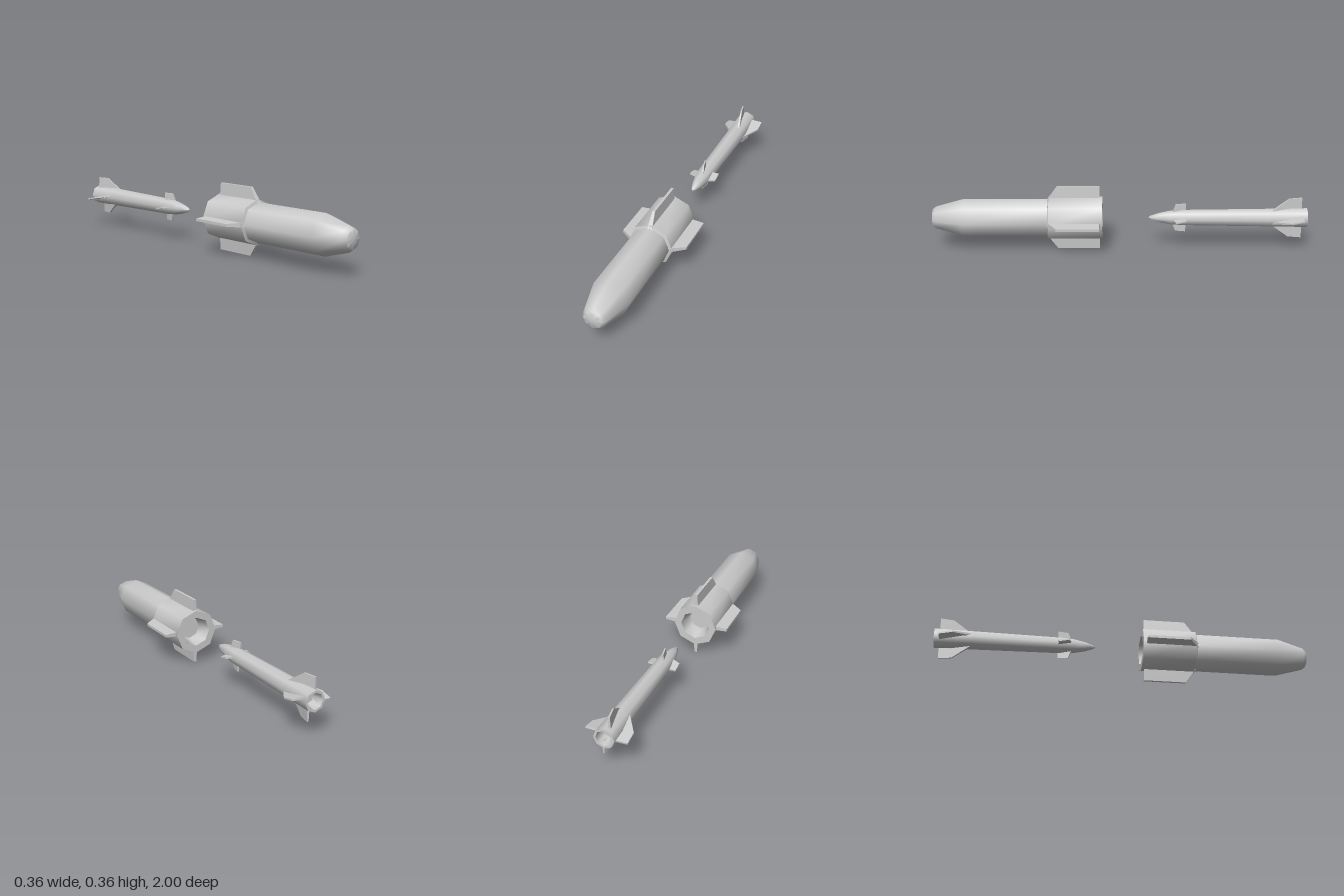
import * as THREE from 'three';
import { toCreasedNormals } from 'three/addons/utils/BufferGeometryUtils.js';

const CENTRE_Y = 0.178;
const material = new THREE.MeshStandardMaterial({ color: 0xcccccc });

// Eight-sided turned body along z; profile is [radius, z] from the tail recess to the nose.
function body(name, profile) {
  const points = profile.map(([r, z]) => new THREE.Vector2(r, z));
  const geometry = new THREE.LatheGeometry(points, 8).rotateX(Math.PI / 2);
  // the turn maps the axis to +z
  const mesh = new THREE.Mesh(toCreasedNormals(geometry, 0.87), material);
  mesh.name = name;
  return mesh;
}

// Tapered fin: root and tip are { r, back, front, half } with half the thickness.
function finGeometry(root, tip, cant) {
  const geometry = new THREE.BoxGeometry(2, 1, 1);
  const p = geometry.attributes.position;
  const pivot = (root.back + root.front) / 2;
  for (let i = 0; i < p.count; i++) {
    const end = p.getY(i) > 0 ? tip : root;
    const z = p.getZ(i) > 0 ? end.front : end.back;
    p.setXYZ(i, p.getX(i) * end.half, end.r, z - pivot);
  }
  geometry.rotateY(cant).translate(0, 0, pivot);
  return toCreasedNormals(geometry, 0.3);
}

// Four equal fins set around the body.
function finSet(name, root, tip, cant = 0) {
  const set = new THREE.Group();
  set.name = name;
  const geometry = finGeometry(root, tip, cant);
  for (let i = 0; i < 4; i++) {
    const fin = new THREE.Mesh(geometry, material);
    fin.name = 'fin';
    fin.rotation.z = i * Math.PI / 2;
    set.add(fin);
  }
  return set;
}

export function createModel() {
  const model = new THREE.Group();
  model.name = 'bombAndMissile';

  // Heavy bomb with a collar around the tail
  const bomb = new THREE.Group();
  bomb.name = 'bomb';
  bomb.position.y = CENTRE_Y;
  bomb.add(
    body('bombBody', [
      [0, 0.17], [0.06, 0.17], [0.08, 0.09], [0.12, 0.09], [0.12, 0.375],
      [0.105, 0.38], [0.105, 0.83], [0.063, 0.975], [0.048, 0.995], [0, 1],
    ]),
    finSet('bombFins',
      { r: 0.1, back: 0.105, front: 0.385, half: 0.013 },
      { r: 0.178, back: 0.105, front: 0.33, half: 0.007 }),
  );

  // Slim missile with canted fins
  const missile = new THREE.Group();
  missile.name = 'missile';
  missile.position.y = CENTRE_Y;
  missile.add(
    body('missileBody', [
      [0, -0.94], [0.032, -0.94], [0.042, -1], [0.054, -1], [0.051, -0.8],
      [0.044, -0.34], [0.039, -0.27], [0.026, -0.21], [0.01, -0.165], [0, -0.155],
    ]),
    finSet('tailFins',
      { r: 0.03, back: -0.975, front: -0.79, half: 0.007 },
      { r: 0.106, back: -0.975, front: -0.905, half: 0.004 }, 0.2),
    finSet('noseFins',
      { r: 0.025, back: -0.355, front: -0.28, half: 0.006 },
      { r: 0.076, back: -0.355, front: -0.3, half: 0.004 }, 0.2),
  );

  model.add(bomb, missile);
  return model;
}
